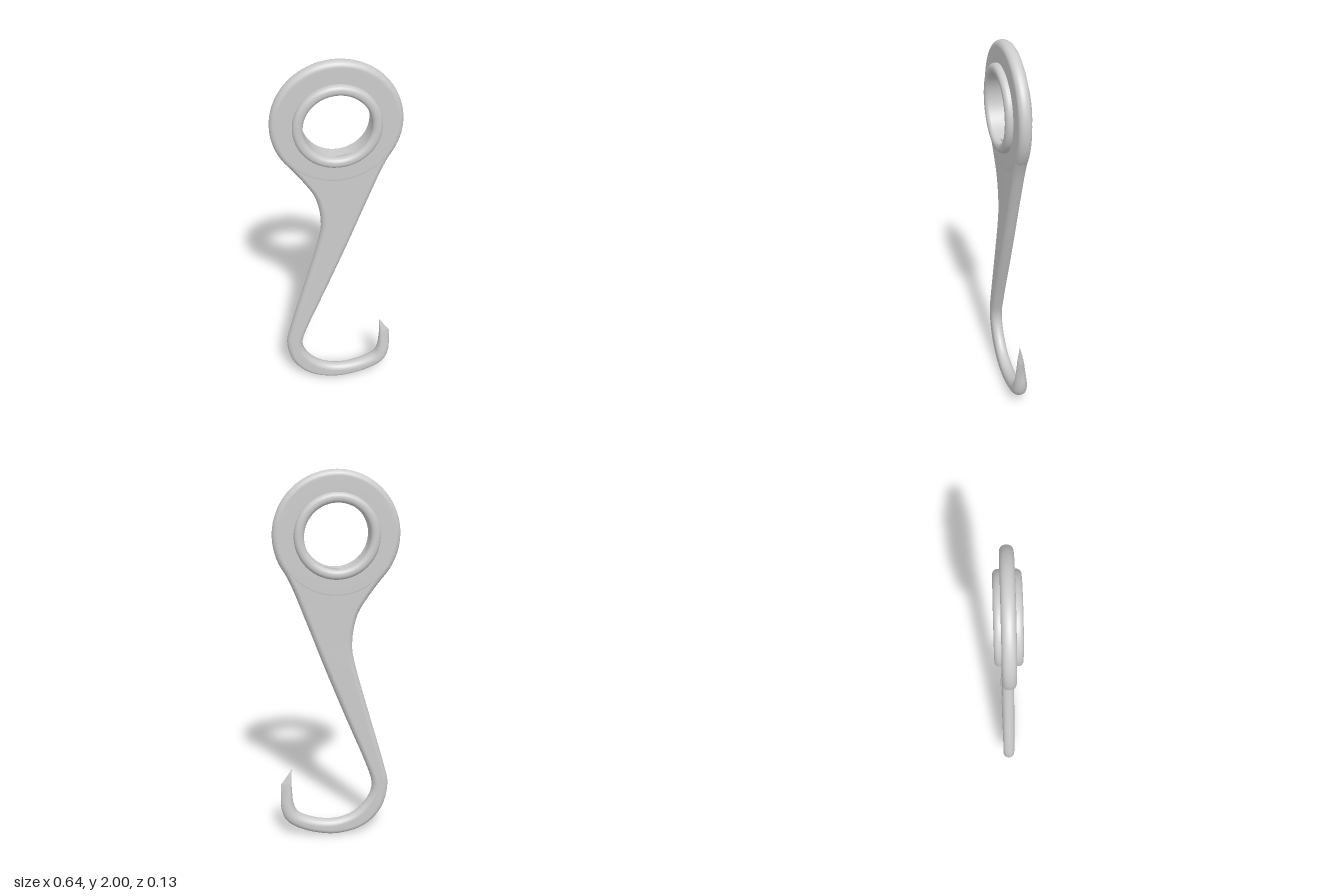
import * as THREE from 'three';

const material = new THREE.MeshStandardMaterial({ color: 0xcccccc });

// Ring around the z axis with a rounded rectangular section
function ring(name, inner, outer, half, radius) {
  const pts = [new THREE.Vector2(outer, 0)];
  const corners = [[outer - radius, half - radius], [inner + radius, half - radius],
    [inner + radius, radius - half], [outer - radius, radius - half]];
  corners.forEach(([r, h], c) => {
    for (let k = 0; k <= 6; k++) {
      const a = (c + k / 6) * Math.PI / 2;
      pts.push(new THREE.Vector2(r + radius * Math.cos(a), h + radius * Math.sin(a)));
    }
  });
  pts.push(new THREE.Vector2(outer, 0));
  const mesh = new THREE.Mesh(new THREE.LatheGeometry(pts, 96).rotateX(Math.PI / 2), material);
  mesh.name = name;
  mesh.position.y = 1.68;
  return mesh;
}

// Loft between an outer and an inner edge line.
// Row: outer x, y, inner x, y, half depth, sharpness of the outer edge
function loft(name, rows, steps, smooth) {
  const curve = (f) => {
    const c = new THREE.CatmullRomCurve3(rows.map(f), false, 'catmullrom', 0.5);
    return (t) => {
      if (smooth) return c.getPoint(t);
      return f(rows[0]).lerp(f(rows[rows.length - 1]), t);
    };
  };
  const outer = curve((r) => new THREE.Vector3(r[0], r[1], 0));
  const inner = curve((r) => new THREE.Vector3(r[2], r[3], 0));
  const depth = curve((r) => new THREE.Vector3(r[4], r[5], 0));
  const sides = 32, pos = [], index = [];
  for (let i = 0; i <= steps; i++) {
    const t = i / steps, o = outer(t), n = inner(t), d = depth(t);
    const half = o.distanceTo(n) / 2;
    const mid = o.clone().add(n).multiplyScalar(0.5);
    const dir = o.clone().sub(n).normalize();
    const cap = Math.min(d.x, half);
    for (let j = 0; j < sides; j++) {
      // Two half circles joined by flat faces
      const a = ((j + 0.5) / sides) * Math.PI * 2 - Math.PI / 2;
      const c = Math.cos(a);
      const u = Math.sign(c) * (half - cap) + cap * c;
      const sharp = THREE.MathUtils.clamp(d.y, 0, 1) * (1 + u / Math.max(half, 1e-4)) / 2;
      pos.push(mid.x + dir.x * u, mid.y + dir.y * u, d.x * Math.sin(a) * (1 - sharp));
      if (i < steps) {
        const k = (j + 1) % sides, p = i * sides, q = p + sides;
        index.push(p + j, q + j, p + k, p + k, q + j, q + k);
      }
    }
  }
  const geo = new THREE.BufferGeometry();
  geo.setAttribute('position', new THREE.Float32BufferAttribute(pos, 3));
  geo.setIndex(index);
  geo.computeVertexNormals();
  const mesh = new THREE.Mesh(geo, material);
  mesh.name = name;
  return mesh;
}

export function createModel() {
  const group = new THREE.Group();
  group.name = 'hook';

  // Eye: flat head with a raised collar round the hole
  group.add(ring('head', 0.185, 0.32, 0.032, 0.028));
  group.add(ring('collar', 0.165, 0.215, 0.064, 0.022));

  // Neck, shank and bend, from the head to the base of the point
  const end = [0.307, 0.29, 0.247, 0.3, 0.03, 0.8];
  group.add(loft('shank', [
    [-0.245, 1.475, 0.303, 1.575, 0.031, 0],
    [-0.17, 1.375, 0.23, 1.43, 0.031, 0],
    [-0.108, 1.27, 0.168, 1.27, 0.031, 0],
    [-0.082, 1.13, 0.108, 1.11, 0.031, 0],
    [-0.098, 1.0, 0.052, 0.96, 0.032, 0],
    [-0.178, 0.71, -0.05, 0.7, 0.032, 0],
    [-0.26, 0.42, -0.155, 0.44, 0.032, 0],
    [-0.284, 0.29, -0.196, 0.3, 0.032, 0],
    [-0.25, 0.15, -0.165, 0.2, 0.032, 0],
    [-0.15, 0.045, -0.09, 0.125, 0.032, 0],
    [0, 0.005, 0.01, 0.094, 0.034, 0],
    [0.15, 0.03, 0.115, 0.105, 0.036, 0],
    [0.265, 0.09, 0.205, 0.145, 0.039, 0],
    [0.305, 0.17, 0.238, 0.205, 0.037, 0.2],
    end,
  ], 140, true));

  // Sharpened point, tapering to the inner side
  const shoulder = [0.305, 0.325, 0.247, 0.335, 0.024, 1];
  group.add(loft('pointBase', [end, shoulder], 3, false));
  group.add(loft('point', [shoulder, [0.246, 0.41, 0.245, 0.41, 0.0, 1]], 6, false));

  return group;
}
